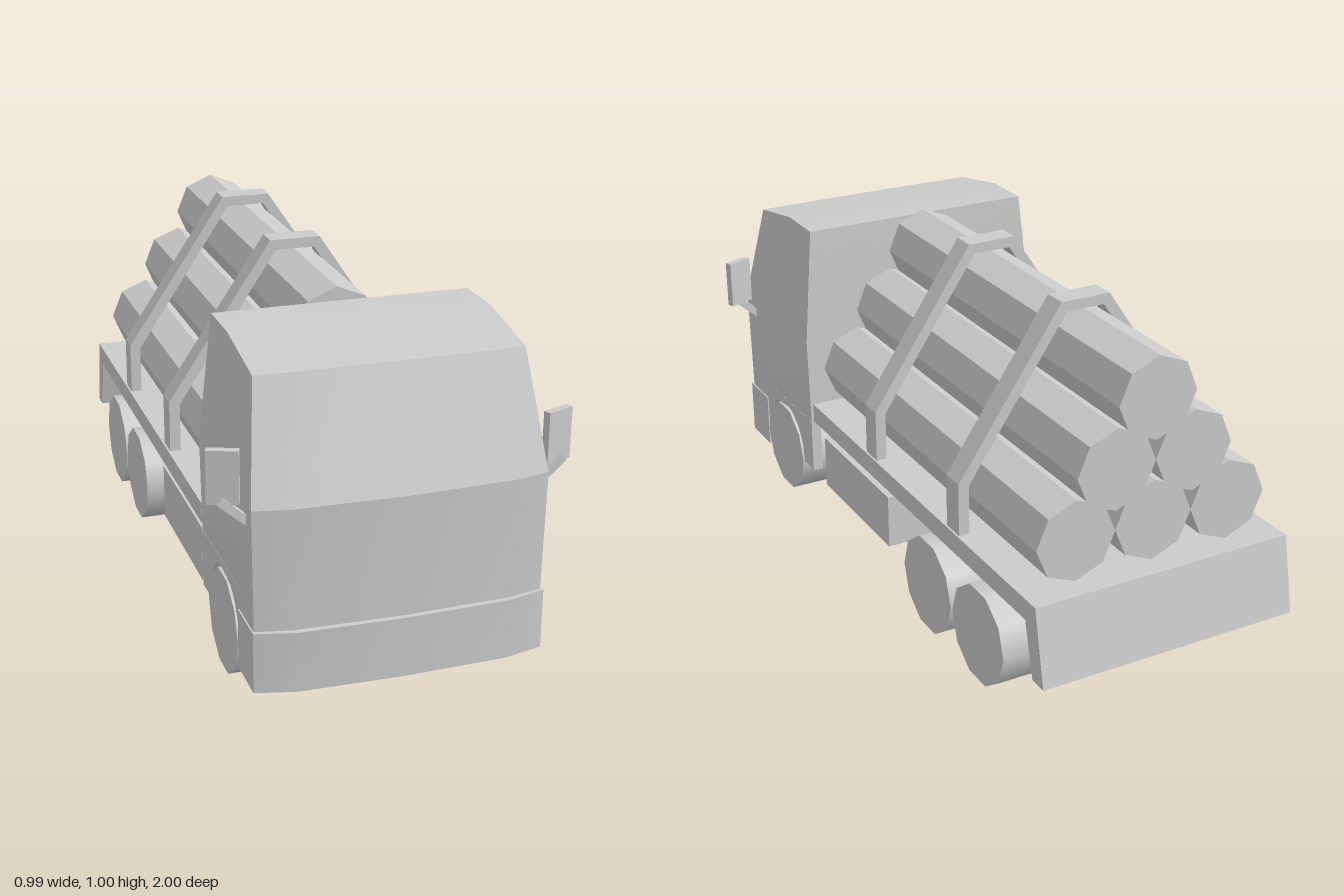
import * as THREE from 'three';
import { toCreasedNormals } from 'three/addons/utils/BufferGeometryUtils.js';

const grey = new THREE.MeshStandardMaterial({ color: 0xcccccc });
const greyFlat = new THREE.MeshStandardMaterial({ color: 0xcccccc, flatShading: true });

function add(parent, name, geometry, material = grey) {
  const mesh = new THREE.Mesh(geometry, material);
  mesh.name = name;
  parent.add(mesh);
  return mesh;
}

// Box given by its limits
function box(x0, x1, y0, y1, z0, z1) {
  return new THREE.BoxGeometry(x1 - x0, y1 - y0, z1 - z0)
    .translate((x0 + x1) / 2, (y0 + y1) / 2, (z0 + z1) / 2);
}

// Side profile of [z, y] points, extruded across x between x0 and x1
function sideExtrude(points, x0, x1) {
  const shape = new THREE.Shape(points.map(([z, y]) => new THREE.Vector2(z, y)));
  return new THREE.ExtrudeGeometry(shape, { depth: x1 - x0, bevelEnabled: false })
    .rotateY(-Math.PI / 2).translate(x1, 0, 0);
}

// Closed loft through rows of left-half points [x, y, z], rear to front; last point lies on x = 0
function mirroredLoft(rows, crease) {
  const rings = rows.map((half) => [
    ...half,
    ...half.slice(0, -1).reverse().map(([x, y, z]) => [-x, y, z]),
  ]);
  const n = rings[0].length;
  const pos = [];
  const tri = (a, b, c) => pos.push(...a, ...b, ...c);
  for (let r = 0; r < rings.length - 1; r++) {
    for (let i = 0; i < n; i++) {
      const j = (i + 1) % n, lo = rings[r], hi = rings[r + 1];
      tri(lo[i], hi[i], lo[j]);
      tri(lo[j], hi[i], hi[j]);
    }
  }
  const top = rings[rings.length - 1], bottom = rings[0];
  for (let i = 0; i < (n - 1) / 2; i++) {
    const m = n - 1 - i;
    tri(top[i], top[m], top[i + 1]);
    tri(bottom[i], bottom[i + 1], bottom[m]);
    if (i + 1 < m - 1) {
      tri(top[i + 1], top[m], top[m - 1]);
      tri(bottom[i + 1], bottom[m - 1], bottom[m]);
    }
  }
  const g = new THREE.BufferGeometry();
  g.setAttribute('position', new THREE.Float32BufferAttribute(pos, 3));
  return toCreasedNormals(g, crease);
}

function buildCab() {
  const cab = new THREE.Group();
  cab.name = 'cab';

  // Body: straight lower walls, leaning windscreen, sloped roof front
  add(cab, 'cabBody', mirroredLoft([
    [[0.395, 0.29, 0.455], [0.395, 0.29, 0.63], [0.395, 0.25, 0.955], [0.3, 0.25, 0.975], [0, 0.25, 0.985]],
    [[0.4, 0.585, 0.455], [0.4, 0.585, 0.63], [0.4, 0.585, 0.955], [0.3, 0.585, 0.975], [0, 0.585, 0.985]],
    [[0.365, 0.94, 0.47], [0.365, 0.94, 0.63], [0.365, 0.9, 0.855], [0.27, 0.9, 0.858], [0, 0.9, 0.86]],
  ], 0.3));

  // Bumper, bowed at the front
  add(cab, 'bumper', mirroredLoft([0.08, 0.25].map((y) => [
    [0.4, y, 0.825], [0.4, y, 0.965], [0.29, y, 0.992], [0, y, 1],
  ]), 0.4));

  // Side skirts with a faceted wheel arch
  const arch = [];
  for (let i = 0; i <= 8; i++) {
    const a = Math.PI * i / 8;
    arch.push([0.675 + 0.15 * Math.cos(a), 0.14 + 0.155 * Math.sin(a)]);
  }
  const skirt = [[0.455, 0.14], ...arch.reverse(), [0.95, 0.14], [0.95, 0.31], [0.455, 0.31]];
  for (const s of [1, -1]) {
    const x = s * 0.38;
    add(cab, s > 0 ? 'leftSkirt' : 'rightSkirt', sideExtrude(skirt, x - 0.016, x + 0.016));
  }

  // Mirrors on slanted arms
  for (const s of [1, -1]) {
    const mirror = new THREE.Group();
    mirror.name = s > 0 ? 'leftMirror' : 'rightMirror';
    const plate = add(mirror, 'mirrorPlate', new THREE.BoxGeometry(0.083, 0.145, 0.022));
    plate.position.set(s * 0.452, 0.657, 0.887);
    plate.rotation.y = s * 0.36;
    const arm = add(mirror, 'mirrorArm', new THREE.BoxGeometry(0.11, 0.022, 0.025));
    arm.position.set(s * 0.425, 0.562, 0.895);
    arm.rotation.z = s * 0.72;
    cab.add(mirror);
  }
  return cab;
}

function buildChassis() {
  const chassis = new THREE.Group();
  chassis.name = 'chassis';

  // Load bed with its slanted tail flap
  add(chassis, 'bed', sideExtrude([
    [0.44, 0.38], [0.44, 0.32], [-0.905, 0.32], [-0.945, 0.16], [-1, 0.16], [-0.955, 0.38],
  ], -0.393, 0.393));

  for (const s of [1, -1]) {
    const rail = add(chassis, 'frameRail', box(-0.02, 0.02, 0.165, 0.325, -0.79, 0.46));
    rail.position.x = s * 0.17;
    const locker = add(chassis, 'sideLocker', box(-0.095, 0.095, 0.115, 0.28, -0.07, 0.39));
    locker.position.x = s * 0.285;
    // Hanger joining the locker to the bed
    const hanger = add(chassis, 'lockerHanger', box(-0.01, 0.01, 0.27, 0.325, 0.1, 0.2));
    hanger.position.x = s * 0.2;

    // Ten-sided wheels: one front, two rear per side
    for (const z of [0.675, -0.36, -0.66]) {
      const wheel = add(chassis, 'wheel',
        new THREE.CylinderGeometry(0.146, 0.146, 0.155, 10).rotateZ(Math.PI / 2));
      wheel.position.set(s * 0.3225, 0.139, z);
    }
  }
  return chassis;
}

function buildLoad() {
  const load = new THREE.Group();
  load.name = 'load';

  // Pyramid of eight-sided logs: 3, 2, 1
  const logGeometry = new THREE.CylinderGeometry(0.118, 0.118, 1.32, 8).rotateX(Math.PI / 2);
  for (let row = 0; row < 3; row++) {
    for (let i = 0; i < 3 - row; i++) {
      const log = add(load, 'log', logGeometry, greyFlat);
      log.position.set((i - (2 - row) / 2) * 0.236, 0.499 + row * 0.175, -0.23);
    }
  }

  // Straps bent over the stack
  const outer = [[0.387, 0.37], [0.387, 0.535], [0.075, 1]];
  const inner = [[0.058, 0.97], [0.355, 0.525], [0.355, 0.37]];
  const half = [...outer, ...outer.slice().reverse().map(([x, y]) => [-x, y])];
  const back = inner.slice().reverse().map(([x, y]) => [-x, y]);
  const outline = [...half, ...back, ...inner];
  const shape = new THREE.Shape(outline.map(([x, y]) => new THREE.Vector2(x, y)));
  for (const z of [0.02, -0.498]) {
    const strap = add(load, 'strap',
      new THREE.ExtrudeGeometry(shape, { depth: 0.07, bevelEnabled: false }));
    strap.position.z = z - 0.035;
  }
  return load;
}

export function createModel() {
  const truck = new THREE.Group();
  truck.name = 'logTruck';
  truck.add(buildCab(), buildChassis(), buildLoad());
  return truck;
}
